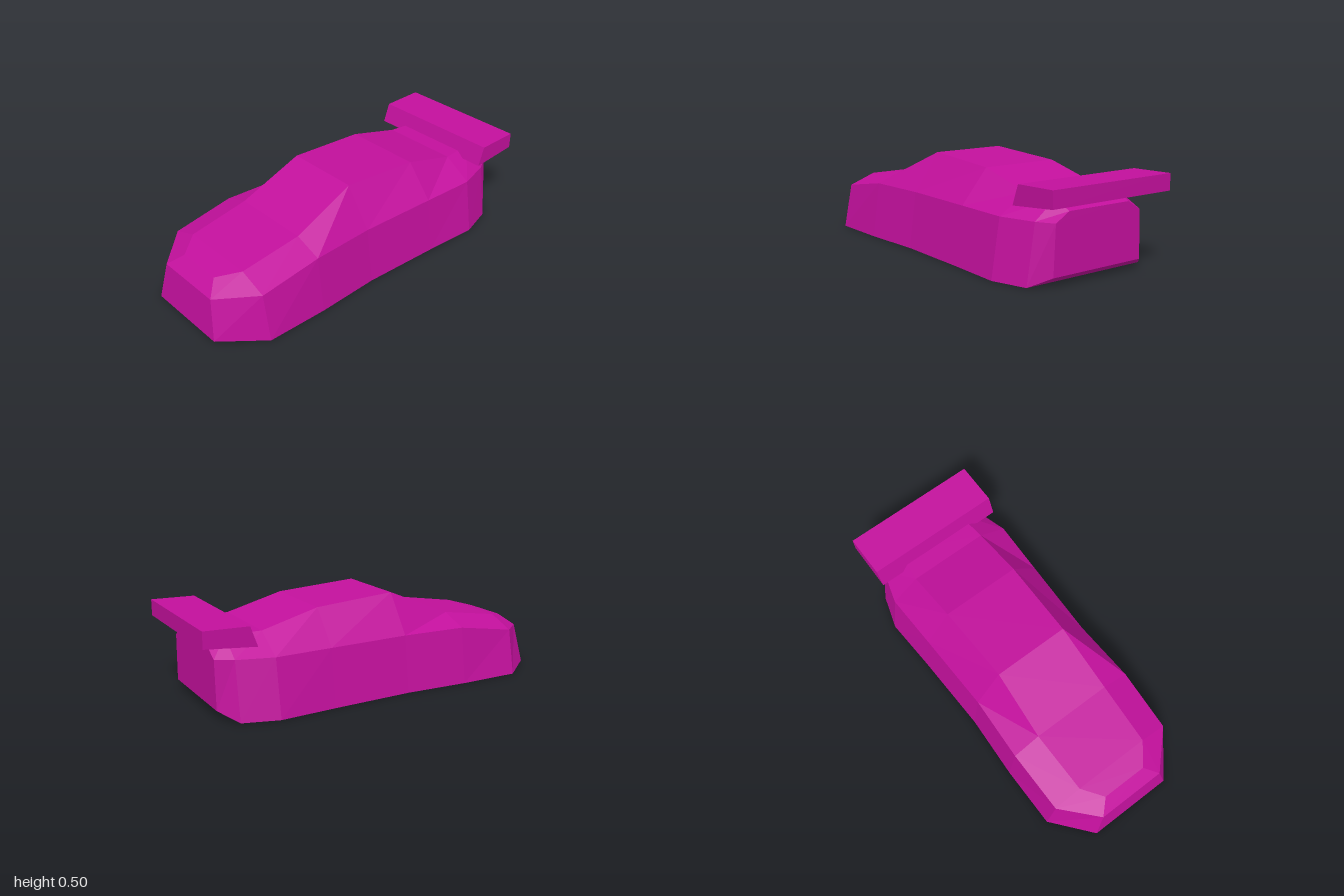
import * as THREE from 'three';

const paint = new THREE.MeshStandardMaterial({ color: 0xc2109c, flatShading: true });

// Cross-sections from nose to tail: sill, shoulder and roof edge as [half width, y, z]
const at = (z, sill, shoulder, shoulderY, roof, roofY) =>
  [[sill, 0, z], [shoulder, shoulderY, z], [roof, roofY, z]];
const sections = [
  [[0.235, 0, 1], [0.19, 0.213, 0.97], [0.125, 0.272, 0.9]],
  at(0.79, 0.41, 0.362, 0.243, 0.21, 0.3),
  at(0.455, 0.41, 0.37, 0.3, 0.22, 0.355),
  at(0.105, 0.392, 0.352, 0.3, 0.208, 0.502),
  at(-0.335, 0.406, 0.365, 0.3, 0.218, 0.475),
  at(-0.64, 0.422, 0.375, 0.3, 0.22, 0.396),
  at(-0.825, 0.365, 0.32, 0.3, 0.2, 0.392),
  [[0.28, 0.05, -0.91], [0.27, 0.3, -0.91], [0.19, 0.347, -0.91]],
];

function buildBody() {
  // Mirror each half section into a six-point ring
  const rings = sections.map((half) => [
    ...half,
    ...half.slice().reverse().map(([x, y, z]) => [-x, y, z]),
  ]);
  const positions = [];
  const quad = (a, b, c, d) => positions.push(...a, ...b, ...c, ...a, ...c, ...d);

  // Skin between neighbouring rings, underside included
  for (let i = 0; i < rings.length - 1; i++) {
    for (let j = 0; j < 6; j++) {
      const k = (j + 1) % 6;
      quad(rings[i][j], rings[i + 1][j], rings[i + 1][k], rings[i][k]);
    }
  }
  // Nose and tail panels
  const front = rings[0];
  const back = rings[rings.length - 1];
  for (let j = 0; j < 2; j++) {
    quad(front[5 - j], front[j], front[j + 1], front[4 - j]);
    quad(back[j], back[5 - j], back[4 - j], back[j + 1]);
  }
  const geometry = new THREE.BufferGeometry();
  geometry.setAttribute('position', new THREE.Float32BufferAttribute(positions, 3));
  geometry.computeVertexNormals();
  return geometry;
}

// Wedge-shaped wing: side profile (distance behind centre, y) swept across the car
function buildWing() {
  const profile = new THREE.Shape(
    [[0.73, 0.366], [1, 0.39], [1, 0.475], [0.767, 0.469]].map(([x, y]) => new THREE.Vector2(x, y))
  );
  const geometry = new THREE.ExtrudeGeometry(profile, { depth: 0.75, bevelEnabled: false });
  return geometry.rotateY(Math.PI / 2).translate(-0.378, 0, 0);
}

export function createModel() {
  const car = new THREE.Group();
  car.name = 'car';
  const add = (name, geometry) => {
    const mesh = new THREE.Mesh(geometry, paint);
    mesh.name = name;
    car.add(mesh);
  };
  add('body', buildBody());
  add('rearWing', buildWing());
  return car;
}
